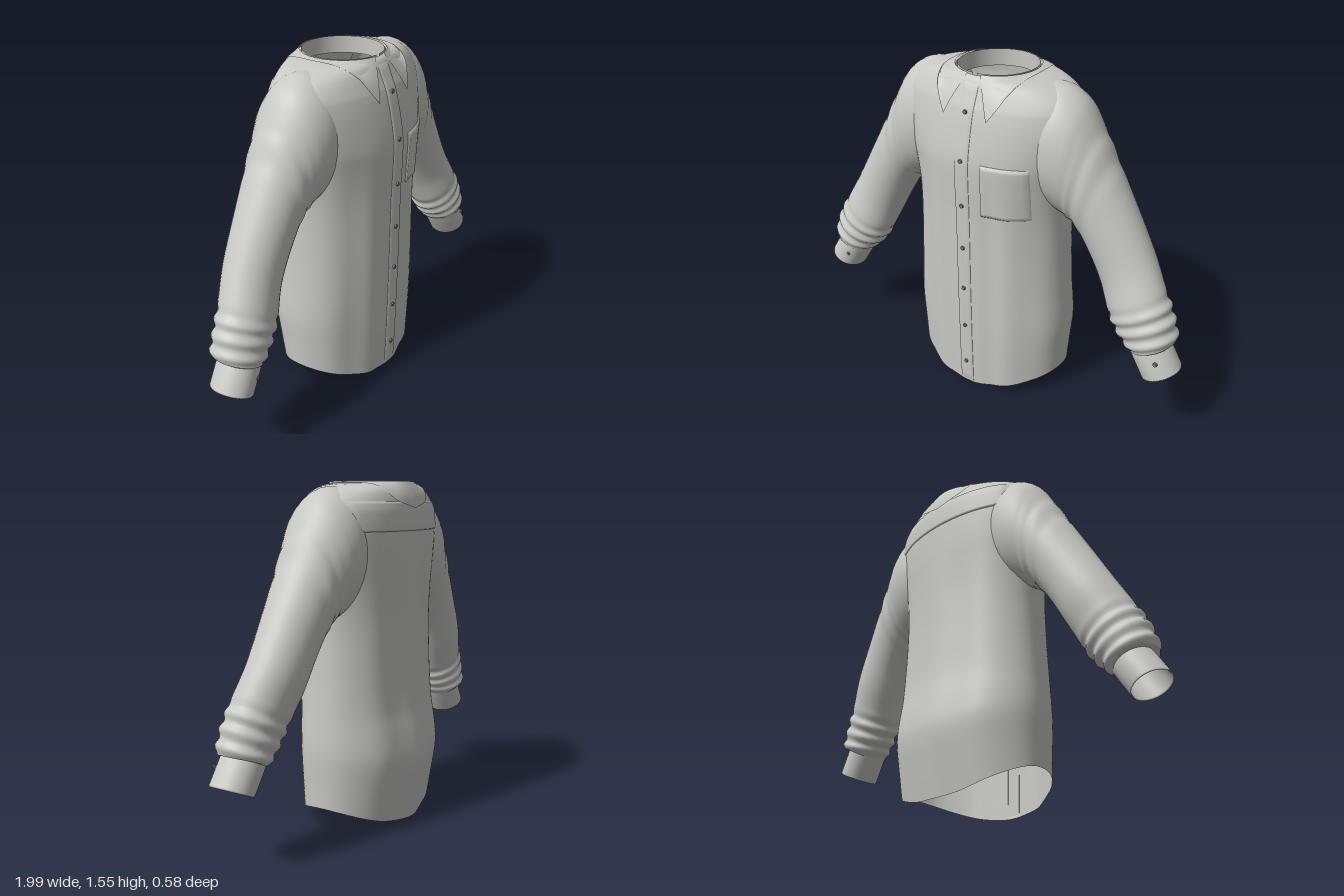
import * as THREE from 'three';

// Smooth (Hermite) lookup in rows of [key, value, value, ...]
function lookup(table, k) {
  const n = table.length - 1;
  let i = 0;
  while (i < n - 1 && k > table[i + 1][0]) i++;
  const A = table[i], B = table[i + 1], h = B[0] - A[0];
  const s = THREE.MathUtils.clamp((k - A[0]) / h, 0, 1);
  const slope = (j, c) => {
    const p = table[Math.max(j - 1, 0)], q = table[Math.min(j + 1, n)];
    return (q[c] - p[c]) / (q[0] - p[0]);
  };
  return A.map((a, c) => {
    const d = B[c] - a;
    const m0 = slope(i, c) * h, m1 = slope(i + 1, c) * h;
    return a + m0 * s + (3 * d - 2 * m0 - m1) * s * s + (m0 + m1 - 2 * d) * s * s * s;
  });
}

// Surface from a rule fn(row, column) -> [x, y, z]; closed joins the last column to the first
function surface(rows, cols, fn, closed = false) {
  const pos = [], index = [], w = closed ? cols : cols + 1;
  for (let r = 0; r <= rows; r++) for (let c = 0; c < w; c++) pos.push(...fn(r, c));
  for (let r = 0; r < rows; r++) for (let c = 0; c < cols; c++) {
    const a = r * w + c, b = r * w + (c + 1) % w;
    index.push(a, b, a + w, b, b + w, a + w);
  }
  const g = new THREE.BufferGeometry();
  g.setAttribute('position', new THREE.Float32BufferAttribute(pos, 3));
  g.setIndex(index);
  g.computeVertexNormals();
  return g;
}

// Body: height, half width, front depth, back depth
const BODY = [
  [0, .385, .26, .235], [.15, .392, .265, .262], [.3, .4, .268, .284], [.42, .398, .27, .272],
  [.55, .39, .272, .25], [.75, .38, .273, .238], [.95, .378, .275, .234], [1.1, .395, .28, .237],
  [1.2, .42, .279, .24], [1.33, .445, .256, .24], [1.42, .44, .233, .236], [1.46, .42, .216, .23],
  [1.5, .375, .199, .222], [1.525, .32, .188, .215], [1.54, .25, .178, .208], [1.548, .182, .165, .195],
];
// Sleeve: key, outer x y, inner x y, centre z, half depth
const SLEEVE = [
  [0, .22, 1.53, .22, 1.05, 0, .16], [1, .34, 1.53, .31, .98, 0, .187], [2, .435, 1.475, .37, .955, 0, .18],
  [3, .505, 1.37, .4, .94, 0, .163], [4, .585, 1.23, .45, .9, 0, .147], [5, .695, 1.04, .515, .8, .004, .132],
  [6, .8, .85, .575, .685, .012, .124], [7, .88, .7, .63, .57, .038, .121], [8, .93, .6, .68, .49, .048, .119],
  [9, .955, .5, .745, .425, .052, .113], [9.4, .92, .487, .765, .408, .055, .094],
];

const arch = (x, hw) => Math.sqrt(Math.max(0, 1 - (x / hw) ** 2));

// Depth of the body surface at x, y with soft hanging folds
function bodyZ(x, y, side) {
  const [, hw, zf, zb] = lookup(BODY, y);
  const e = arch(x, hw);
  const fade = e * THREE.MathUtils.smoothstep(1.35 - y, 0, .5);
  const fold = side > 0
    ? .006 * Math.sin(x * 34 + .6) * Math.min(1, Math.abs(x) * 8)
    : .006 * Math.cos(x * 24);
  return side * ((side > 0 ? zf : zb) * Math.pow(e, .94) + fold * fade);
}

function bodyGeometry() {
  const keys = [];
  BODY.forEach((row, i) => {
    if (i) for (let k = 0; k < 4; k++) keys.push(THREE.MathUtils.lerp(BODY[i - 1][0], row[0], k / 4));
  });
  keys.push(1.548);
  return surface(keys.length - 1, 96, (r, c) => {
    const a = c / 96 * Math.PI * 2, y = keys[r], hw = lookup(BODY, y)[1];
    const x = hw * Math.sin(a);
    const hem = (.005 + .105 * Math.sin(a) ** 2) * Math.max(0, 1 - y / .5);
    return [x, y + hem, Math.abs(Math.cos(a)) < 1e-6 ? 0 : bodyZ(x, y, Math.sign(Math.cos(a)))];
  }, true);
}

// Thin cloth piece lying on the body, its border sinking into the surface
function patch(x0, x1, y0, y1, side, lift, rows = 24, cols = 16) {
  const ease = (i, n) => i === 0 ? 0 : i === n ? 1 : i === 1 ? .03 : i === n - 1 ? .97 : i / n;
  return surface(rows, cols, (r, c) => {
    const x = THREE.MathUtils.lerp(x0, x1, side > 0 ? ease(c, cols) : 1 - ease(c, cols));
    const y = THREE.MathUtils.lerp(y0, y1, r / rows);
    const edge = r === 0 || c === 0 || r === rows || c === cols;
    return [x, y, bodyZ(x, y, side) + side * (edge ? -.002 : lift)];
  });
}

function sleeveGeometry(sx) {
  const rows = 100;
  return surface(rows, 40, (r, c) => {
    const k = r / rows * 9.4, a = c / 40 * Math.PI * 2 * sx;
    const [, ox, oy, ix, iy, zc, rz] = lookup(SLEEVE, k);
    // gathered rings above the cuff, faint creases higher up
    const gather = THREE.MathUtils.smoothstep(k, 6.7, 7.4) * (1 - THREE.MathUtils.smoothstep(k, 8.9, 9.3));
    const crease = THREE.MathUtils.smoothstep(k, 2.6, 3.4) * (1 - THREE.MathUtils.smoothstep(k, 4, 4.6));
    const f = 1 + .05 * gather * Math.sin(k * 9.5 + 1.1 * Math.sin(a + .5))
      + .018 * crease * Math.sin(k * 7 + 2 * Math.cos(a));
    const u = Math.cos(a) * f / 2;
    return [sx * ((ox + ix) / 2 + (ox - ix) * u), (oy + iy) / 2 + (oy - iy) * u, zc + rz * f * Math.sin(a) * sx * sx];
  }, true);
}

// Cuff: outer wall, rolled rim and inner wall
function cuffGeometry(sx) {
  const rings = [[0, .96], [.06, 1], [.5, 1], [.95, 1], [1, .97], [.95, .93], [0, .9]];
  return surface(rings.length - 1, 40, (r, c) => {
    const [t, f] = rings[r], a = c / 40 * Math.PI * 2 * sx, L = THREE.MathUtils.lerp;
    const ox = L(.915, .995, t), oy = L(.505, .375, t), ix = L(.755, .83, t), iy = L(.42, .298, t);
    const u = Math.cos(a) * f / 2;
    return [sx * ((ox + ix) / 2 + (ox - ix) * u), (oy + iy) / 2 + (oy - iy) * u, L(.057, .064, t) + .096 * f * Math.sin(a)];
  }, true);
}

// Folded collar leaf: from the top of the band down to a shaped edge with two points
function collarGeometry() {
  const edge = new THREE.CatmullRomCurve3([
    [0, 1.44, -.246], [.13, 1.475, -.226], [.19, 1.535, -.168], [.212, 1.55, -.02], [.203, 1.542, .115],
    [.18, 1.505, .186], [.15, 1.45, .222], [.108, 1.385, .25],
  ].map(p => new THREE.Vector3(...p)));
  const cols = 72, rows = 8;
  return surface(rows, cols, (r, c) => {
    const t = 1 - 2 * c / cols, s = Math.sign(t), v = r / rows;
    const b = edge.getPoint(Math.abs(t)), a = Math.PI - Math.abs(t) * (Math.PI - .17);
    const bulge = 1 + .03 * Math.sin(v * Math.PI);
    const x = THREE.MathUtils.lerp(Math.sin(a) * .188, b.x, 1 - v);
    const z = THREE.MathUtils.lerp(-.015 + Math.cos(a) * .19, b.z, 1 - v);
    return [s * x * bulge, THREE.MathUtils.lerp(b.y, 1.557, v), z * bulge];
  });
}

export function createModel() {
  const cloth = new THREE.MeshStandardMaterial({ color: 0xc9c9c4, side: THREE.DoubleSide });
  cloth.name = 'greyCloth';
  const buttonGrey = new THREE.MeshStandardMaterial({ color: 0x77787a });
  buttonGrey.name = 'buttonGrey';

  const shirt = new THREE.Group();
  shirt.name = 'shirt';
  const add = (name, geometry, material = cloth) => {
    const mesh = new THREE.Mesh(geometry, material);
    mesh.name = name;
    shirt.add(mesh);
    return mesh;
  };

  add('body', bodyGeometry());
  add('placket', patch(-.036, .036, .012, 1.53, 1, .004, 80, 8));
  add('chestPocket', patch(.09, .295, .95, 1.2, 1, .009));
  add('backYoke', patch(-.37, .37, 1.34, 1.47, -1, .005, 24, 40));
  add('collar', collarGeometry());

  // neck band, open at the front
  add('neckBand', surface(4, 60, (r, c) => {
    const a = .06 + c / 60 * (Math.PI * 2 - .12);
    return [Math.sin(a) * .178, 1.48 + r * .0195, -.015 + Math.cos(a) * .18];
  }));

  for (const [side, sx] of [['left', 1], ['right', -1]]) {
    add(side + 'Sleeve', sleeveGeometry(sx));
    add(side + 'Cuff', cuffGeometry(sx));
  }

  // buttons down the front and on the cuffs
  const disc = new THREE.CylinderGeometry(.009, .01, .008, 16).rotateX(Math.PI / 2);
  for (const y of [.13, .345, .555, .77, .985, 1.2, 1.41])
    add('frontButton', disc, buttonGrey).position.set(0, y, bodyZ(0, y, 1) + .007);
  for (const [x, y] of [[.91, .425], [-.845, .395]])
    add('cuffButton', disc, buttonGrey).position.set(x, y, .152);

  return shirt;
}
